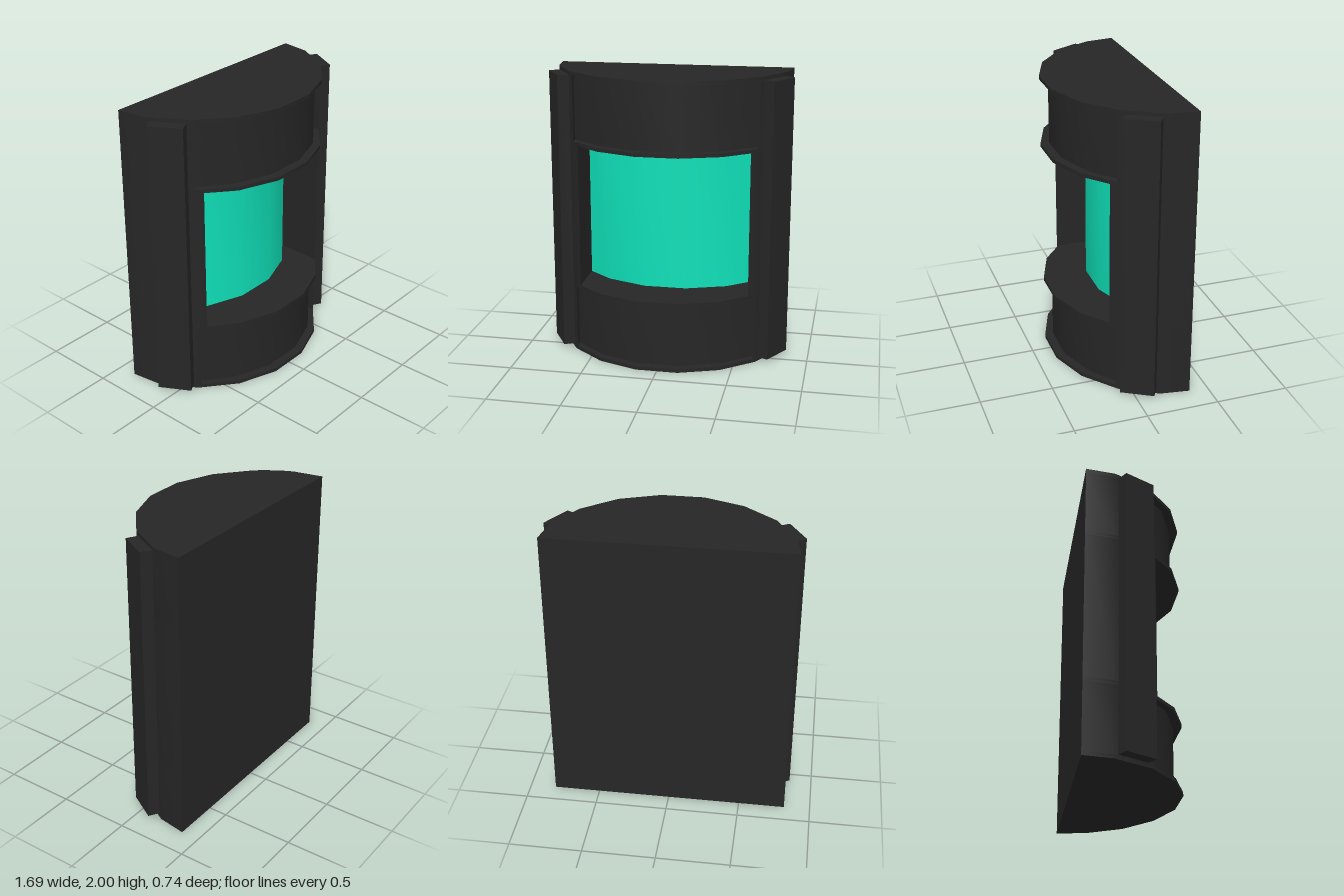
import * as THREE from 'three';
import { toCreasedNormals } from 'three/addons/utils/BufferGeometryUtils.js';

// Right half of the floor plan as [x, z], from the back corner to the front
const PLAN = [[0.82, -0.37], [0.79, -0.17], [0.645, 0.08], [0.42, 0.265], [0.145, 0.365]];

const mirrored = half => [...half, ...half.map(([x, z]) => [-x, z]).reverse()];

// Depth of the curved front at a given x
function frontZ(x) {
  const [x0, z0] = PLAN[2], [x1, z1] = PLAN[3];
  return z0 + (z1 - z0) * (x0 - x) / (x0 - x1);
}

// The curved front, cut off at x = halfWidth and moved back
const curve = (halfWidth, back) =>
  [[halfWidth, frontZ(halfWidth)], PLAN[3], PLAN[4]].map(([x, z]) => [x, z - back]);

// Plan with a niche of the given half width and depth in its front
const nichePlan = (halfWidth, depth) => mirrored([
  ...PLAN.slice(0, 3), [halfWidth, frontZ(halfWidth)], ...curve(halfWidth, depth),
]);

export function createModel() {
  const group = new THREE.Group();
  const dark = new THREE.MeshStandardMaterial({ color: 0x262626 });
  const teal = new THREE.MeshStandardMaterial({ color: 0x0fe0b8 });

  // Upright prism over a plan, between two heights
  function prism(name, plan, y0, y1, material = dark) {
    const shape = new THREE.Shape(plan.map(([x, z]) => new THREE.Vector2(x, -z)));
    const geometry = new THREE.ExtrudeGeometry(shape, { depth: y1 - y0, bevelEnabled: false });
    geometry.rotateX(-Math.PI / 2).translate(0, y0, 0);
    const mesh = new THREE.Mesh(toCreasedNormals(geometry, 0.6), material);
    mesh.name = name;
    group.add(mesh);
  }

  // Thin full-width plates at the ends and around the window
  const full = mirrored(PLAN);
  prism('bottomPlate', full, 0, 0.025);
  prism('lowerSill', full, 0.475, 0.5);
  prism('upperSill', full, 1.5, 1.525);
  prism('topPlate', full, 1.975, 2);

  // Sections with slightly recessed front panels
  const panel = nichePlan(0.63, 0.06);
  prism('lowerPanel', panel, 0.025, 0.475);
  prism('upperPanel', panel, 1.525, 1.975);

  // Deep window niche and its curved screen
  prism('windowSection', nichePlan(0.59, 0.335), 0.5, 1.5);
  const screen = mirrored([[0.59, -0.3], ...curve(0.59, 0.315)]);
  prism('screen', screen, 0.5, 1.5, teal);

  // Slanted strips along both sides
  const strip = [[0.845, -0.105], [0.73, 0.095], [0.64, 0.045], [0.755, -0.16]];
  prism('leftStrip', strip, 0.03, 1.975);
  prism('rightStrip', strip.map(([x, z]) => [-x, z]).reverse(), 0.03, 1.975);

  return group;
}
